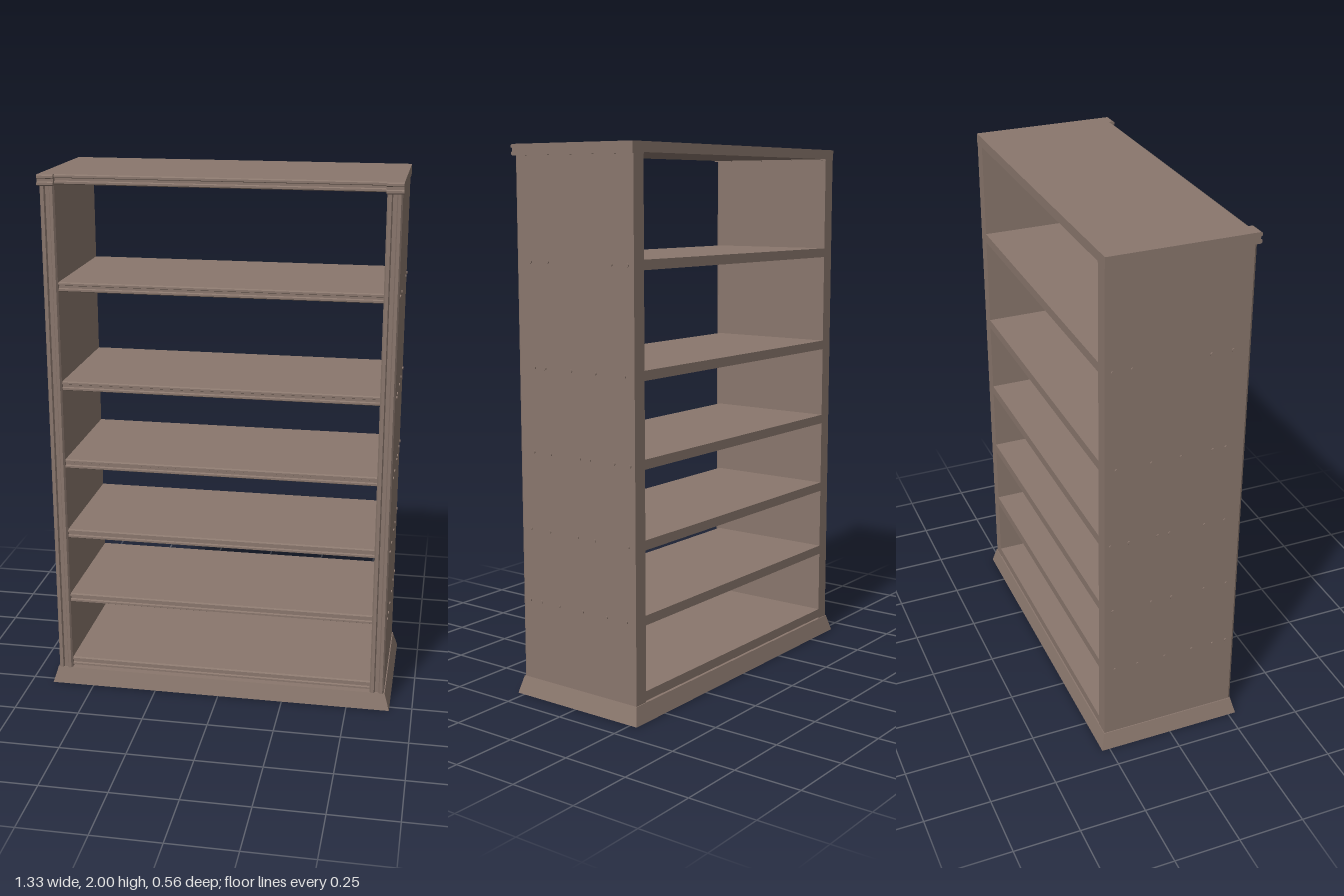
import * as THREE from 'three';

export function createModel() {
  const group = new THREE.Group();
  group.name = 'bookcase';
  const wood = new THREE.MeshStandardMaterial({ color: 0x8a776d });
  wood.name = 'brown wood';

  const add = (name, geometry, x = 0, y = 0, z = 0) => {
    const mesh = new THREE.Mesh(geometry, wood);
    mesh.name = name;
    mesh.position.set(x, y, z);
    group.add(mesh);
    return mesh;
  };

  // Board with two grooves cut in its front edge, extruded along its length.
  const X = new THREE.Vector3(1, 0, 0), Y = new THREE.Vector3(0, 1, 0), Z = new THREE.Vector3(0, 0, 1);
  const shelfAxes = new THREE.Matrix4().makeBasis(Z, Y, X.clone().negate());
  const panelAxes = new THREE.Matrix4().makeBasis(Z, X, Y);
  function groovedBoard(back, front, thick, length, groove, axes) {
    const h = thick / 2;
    const edge = [
      [front - groove, -h], [front, -0.8 * h], [front, -0.4 * h], [front - groove, -0.25 * h],
      [front - groove, 0.25 * h], [front, 0.4 * h], [front, 0.8 * h], [front - groove, h],
    ];
    const points = [[back, -h], ...edge, [back, h]].map(([a, b]) => new THREE.Vector2(a, b));
    const geometry = new THREE.ExtrudeGeometry(new THREE.Shape(points), { depth: length, bevelEnabled: false });
    return geometry.translate(0, 0, -length / 2).applyMatrix4(axes);
  }

  // Flared base: the top of the block is pulled in.
  const base = new THREE.BoxGeometry(1.328, 0.064, 0.56);
  const p = base.attributes.position;
  for (let i = 0; i < p.count; i++) {
    if (p.getY(i) > 0) p.setXYZ(i, p.getX(i) * 0.971, p.getY(i), p.getZ(i) * 0.945);
  }
  base.computeVertexNormals();
  add('base', base, 0, 0.032, 0);

  // Shelves and top board
  const shelf = groovedBoard(-0.262, 0.255, 0.035, 1.19, 0.007, shelfAxes);
  const heights = [0.087, 0.362, 0.631, 0.915, 1.221, 1.594];
  heights.forEach((y) => add('shelf', shelf, 0, y, 0));
  add('topBoard', groovedBoard(-0.262, 0.264, 0.036, 1.19, 0.007, shelfAxes), 0, 1.982, 0);

  // Side panels, the caps above them, and the pegs that hold the shelves
  const panel = groovedBoard(-0.262, 0.266, 0.054, 1.898, 0.008, panelAxes);
  const cap = groovedBoard(-0.262, 0.281, 0.04, 0.06, 0.006, shelfAxes);
  const peg = new THREE.CylinderGeometry(0.006, 0.006, 0.008, 8).rotateZ(Math.PI / 2);
  const pegRows = [
    [0.23, 0.175, 0.09, -0.02, -0.13, -0.22],
    [0.22, 0.13, 0, -0.08, -0.23],
    [0.2, 0.12, -0.015, -0.06, -0.17, -0.24],
    [0.19, 0.14, 0.02, -0.09, -0.22],
    [0.2, 0.12, -0.165, -0.235],
  ];
  for (const [side, s] of [['left', 1], ['right', -1]]) {
    add(side + 'Panel', panel, s * 0.614, 1.012, 0);
    add(side + 'Cap', cap, s * 0.615, 1.98, 0);
    pegRows.forEach((row, i) => row.forEach((z) => add(side + 'Peg', peg, s * 0.641, heights[i + 1], z)));
  }
  return group;
}
